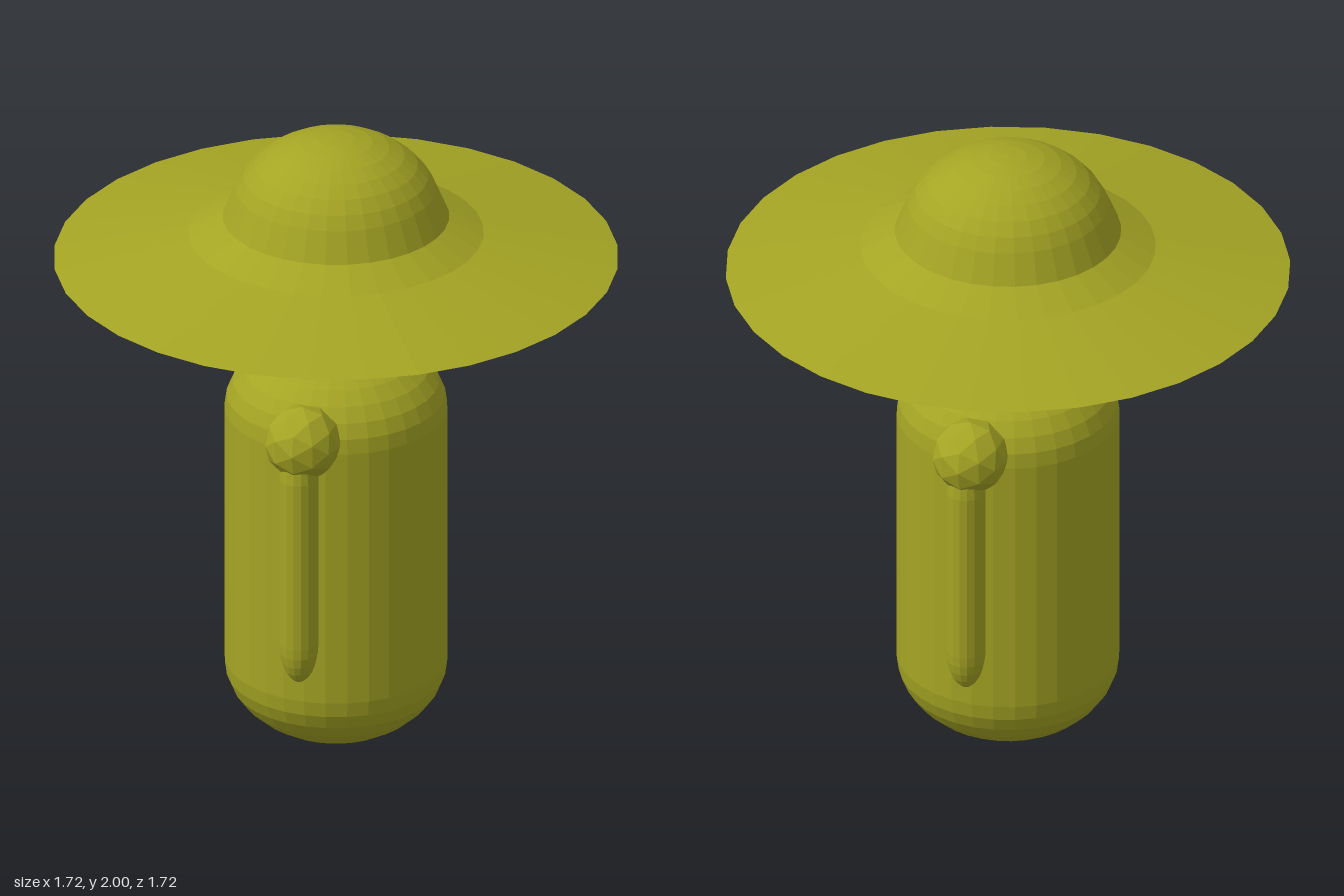
import * as THREE from 'three';

export function createModel() {
  const group = new THREE.Group();
  const olive = new THREE.MeshStandardMaterial({ color: 0xa4a424, flatShading: true });
  olive.name = 'olive';
  const charcoal = new THREE.MeshStandardMaterial({ color: 0x2d2d2f, flatShading: true });
  charcoal.name = 'charcoal';

  const add = (name, geometry, material, parent = group) => {
    const mesh = new THREE.Mesh(geometry, material);
    mesh.name = name;
    parent.add(mesh);
    return mesh;
  };
  const lathe = (points, sides = 32) =>
    new THREE.LatheGeometry(points.map(([x, y]) => new THREE.Vector2(x, y)), sides);

  // Points of an elliptical arc, from angle a to angle b in degrees (0 is sideways, 90 is up)
  const arc = (rx, ry, cy, a, b, steps) =>
    Array.from({ length: steps + 1 }, (_, i) => {
      const t = THREE.MathUtils.degToRad(a + ((b - a) * i) / steps);
      return [Math.max(0, rx * Math.cos(t)), cy + ry * Math.sin(t)];
    });

  // Rounded body
  add('body', lathe([
    ...arc(0.34, 0.25, 0.25, -90, 0, 8),
    ...arc(0.34, 0.24, 1.09, 0, 90, 8),
  ]), olive);

  // Dark head, cut off at the neck and tucked into the hat
  add('head', lathe([
    [0, 1.305], [0.19, 1.305], [0.215, 1.315],
    ...arc(0.31, 0.33, 1.57, -46, 0, 6),
    [0.31, 1.62], [0, 1.62],
  ]), charcoal);

  // Wide brim with a flat underside
  add('hatBrim', lathe([
    [0, 1.595], [0.86, 1.595], [0.45, 1.68], [0.345, 1.735], [0, 1.735],
  ]), olive);

  // Domed crown
  add('hatCrown', lathe([
    [0.345, 1.735], ...arc(0.325, 0.26, 1.74, 20, 90, 7),
  ]), olive);

  // Arms at the front and back, each hanging from a faceted shoulder
  for (const [name, side] of [['frontArm', 1], ['backArm', -1]]) {
    const arm = new THREE.Group();
    arm.name = name;
    group.add(arm);
    const shoulder = add('shoulder', new THREE.IcosahedronGeometry(0.118, 1), olive, arm);
    shoulder.position.set(0, 1.133, side * 0.353);
    const limb = add('limb', lathe([
      ...arc(0.06, 0.13, 0.475, -90, 0, 6),
      ...arc(0.06, 0.1, 1.03, 0, 90, 4),
    ], 16), olive, arm);
    limb.position.z = side * 0.393;
  }

  return group;
}
